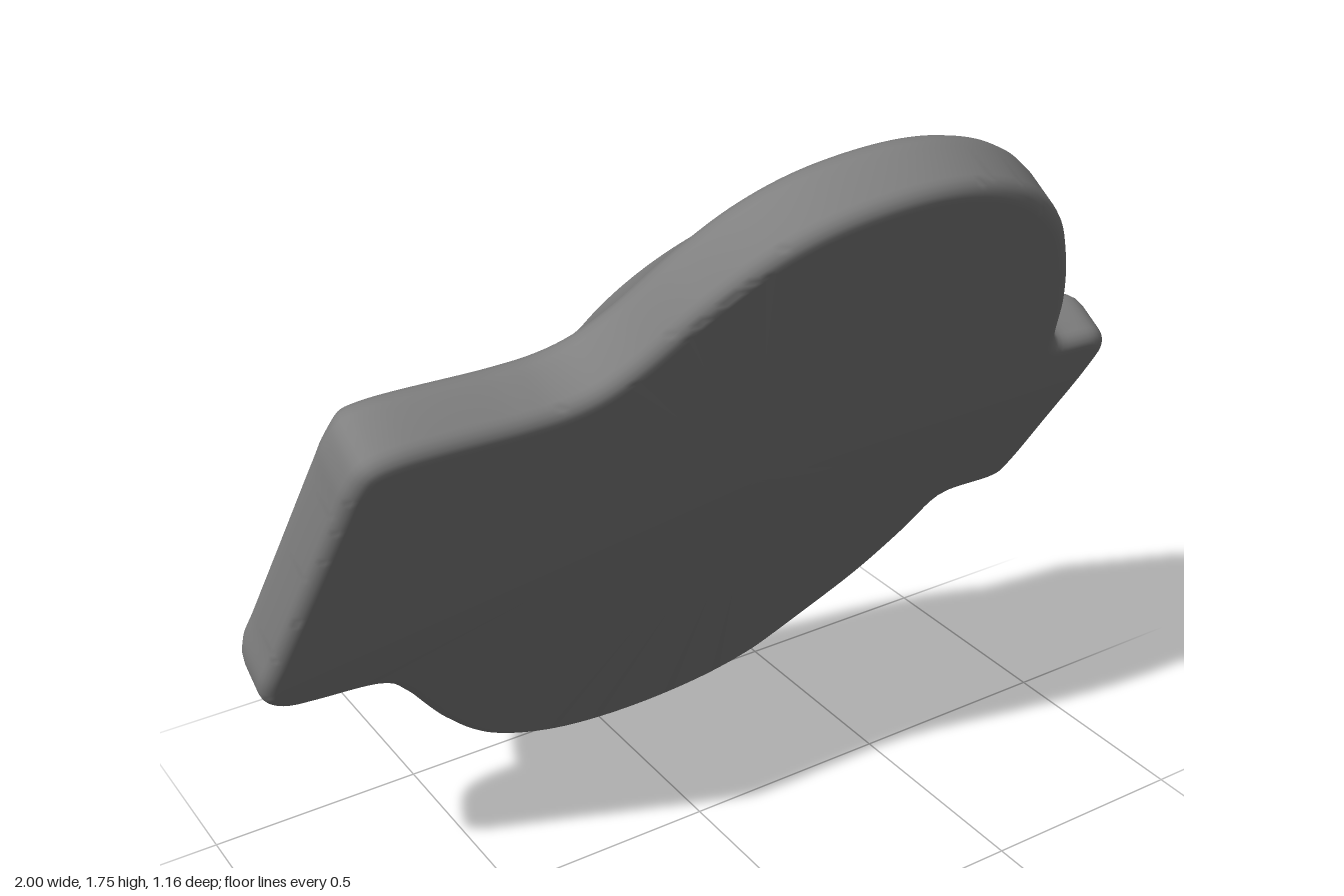
import * as THREE from 'three';
import { toCreasedNormals } from 'three/addons/utils/BufferGeometryUtils.js';

const CX = 0.075, CV = 0.83;                  // centre of the recess, in the slab plane
const T = 0.17, FRONT_R = 0.035, BACK_R = 0.065; // slab thickness and edge roundings
const N = 400;

// Outline in the slab plane, counterclockwise seen from the front
const OUTLINE = [
  [-1, 0.54], [-0.985, 0.475], [-0.94, 0.437], [-0.88, 0.424], [-0.75, 0.405], [-0.7, 0.378],
  [-0.64, 0.3], [-0.5, 0.075], [-0.35, -0.105], [-0.15, -0.222], [0.08, -0.26], [0.3, -0.228],
  [0.43, -0.158], [0.51, -0.065], [0.55, -0.012], [0.65, 0.13], [0.73, 0.305], [0.764, 0.415],
  [0.78, 0.427], [0.92, 0.428], [0.955, 0.45], [0.97, 0.51], [0.985, 0.68], [1, 0.88],
  [0.992, 0.965], [0.95, 1.005], [0.83, 1.022], [0.803, 1.045], [0.73, 1.22], [0.64, 1.39],
  [0.54, 1.535], [0.4, 1.658], [0.25, 1.724], [0.1, 1.742], [-0.08, 1.712], [-0.2, 1.648],
  [-0.3, 1.545], [-0.4, 1.405], [-0.46, 1.35], [-0.52, 1.327], [-0.6, 1.32], [-0.86, 1.32],
  [-0.91, 1.3], [-0.932, 1.24], [-0.941, 1.16], [-0.966, 0.9], [-0.99, 0.65],
];

// Slab coordinates (across, along, depth from front face) to the tilted position
const tilt = ([x, v, w]) => [x, 0.849 * v + 0.203 + 0.528 * w, 0.528 * v - 0.326 - 0.849 * w];

// Skin a list of rings running from the front to the back
function loft(rings) {
  const pos = [], index = [];
  rings.forEach((ring) => ring.forEach((p) => pos.push(...tilt(p))));
  for (let k = 0; k < rings.length - 1; k++) {
    for (let i = 0; i < N; i++) {
      const j = (i + 1) % N, a = k * N, b = a + N;
      index.push(a + i, b + i, b + j, a + i, b + j, a + j);
    }
  }
  const geo = new THREE.BufferGeometry();
  geo.setAttribute('position', new THREE.Float32BufferAttribute(pos, 3));
  geo.setIndex(index);
  return toCreasedNormals(geo, 0.7);
}

export function createModel() {
  const grey = new THREE.MeshStandardMaterial({ color: 0x808080 });
  grey.name = 'grey';

  const curve = new THREE.CatmullRomCurve3(
    OUTLINE.map(([x, v]) => new THREE.Vector3(x, v, 0)), true, 'centripetal');
  curve.arcLengthDivisions = 1600;
  const edge = curve.getSpacedPoints(N).slice(0, N);

  // Outline moved inward by d at depth w
  const inset = (d, w) => edge.map((p, i) => {
    const a = edge[(i + N - 1) % N], b = edge[(i + 1) % N];
    const tx = b.x - a.x, tv = b.y - a.y, l = Math.hypot(tx, tv);
    return [p.x - (tv / l) * d, p.y + (tx / l) * d, w];
  });

  // Oblong with round ends: half width a, half straight length h
  const oblong = (a, h, w) => edge.map((p) => {
    const l = Math.hypot(p.x - CX, p.y - CV);
    const c = (p.x - CX) / l, s = (p.y - CV) / l;
    const t = Math.abs(s) * a <= h * Math.abs(c)
      ? a / Math.abs(c)
      : h * Math.abs(s) + Math.sqrt(a * a - h * h * c * c);
    return [CX + c * t, CV + s * t, w];
  });
  const centre = (w) => edge.map(() => [CX, CV, w]);

  // Flat front and rounded edges
  const rings = [centre(0)];
  const steps = 5;
  for (let i = 0; i <= steps; i++) {
    const q = (i / steps) * Math.PI / 2;
    rings.push(inset(FRONT_R * (1 - Math.sin(q)), FRONT_R * (1 - Math.cos(q))));
  }
  for (let i = 0; i <= steps; i++) {
    const q = (i / steps) * Math.PI / 2;
    rings.push(inset(BACK_R * (1 - Math.cos(q)), T - BACK_R * (1 - Math.sin(q))));
  }
  // Slope up to the raised lip, then down the recess wall
  rings.push(oblong(0.455, 0.225, 0.235), oblong(0.445, 0.222, 0.243), oblong(0.432, 0.212, 0.247),
    oblong(0.42, 0.207, 0.244), oblong(0.413, 0.205, 0.232), oblong(0.41, 0.205, 0.168));

  const group = new THREE.Group();
  const add = (name, geo) => {
    const mesh = new THREE.Mesh(geo, grey);
    mesh.name = name;
    group.add(mesh);
  };
  add('tabbedBody', loft(rings));
  add('recessFloor', loft([oblong(0.41, 0.205, 0.168), centre(0.168)]));
  return group;
}
